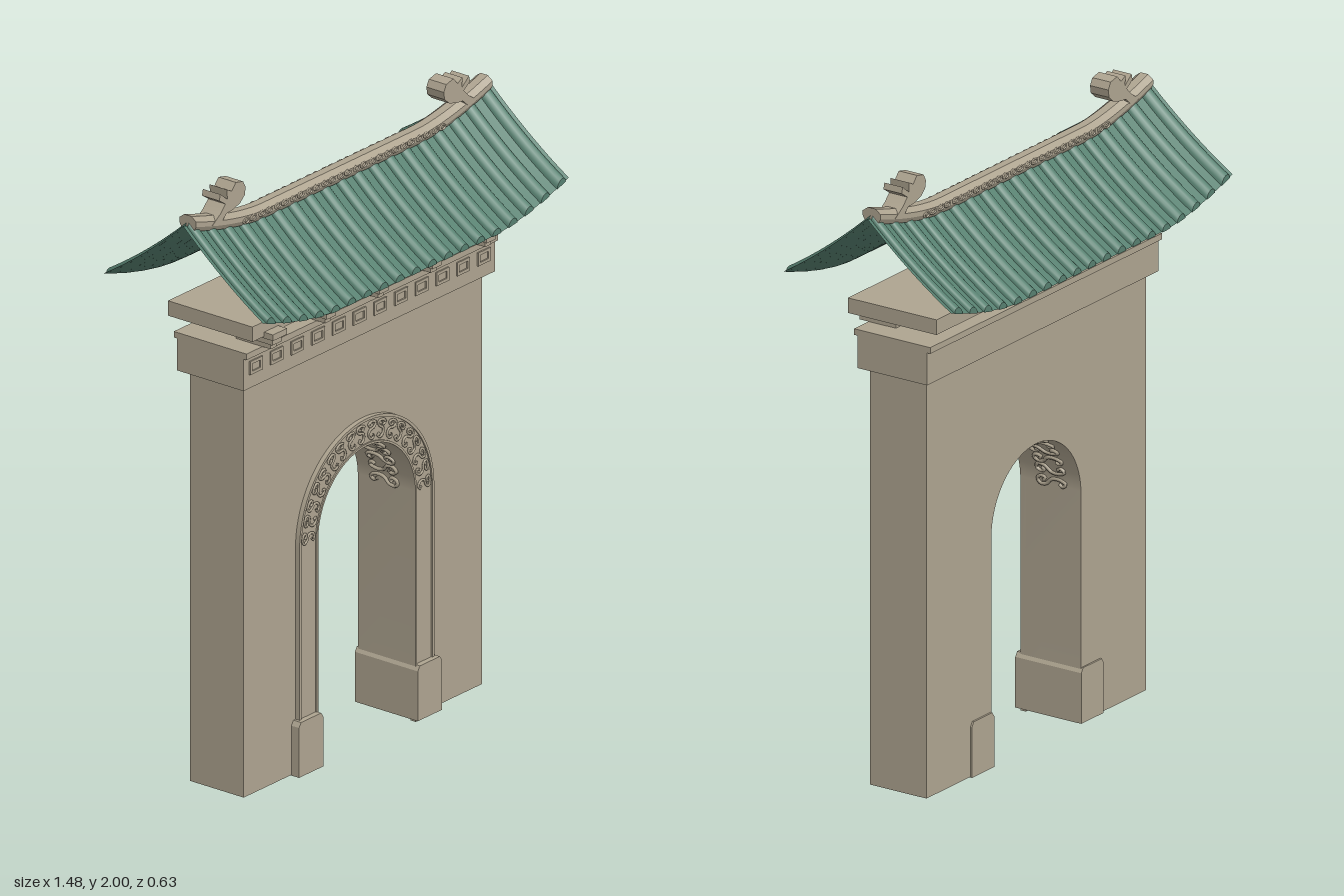
import * as THREE from 'three';
import { mergeGeometries, toCreasedNormals } from 'three/addons/utils/BufferGeometryUtils.js';

const stone = new THREE.MeshStandardMaterial({ color: 0xaea490, side: THREE.DoubleSide });
stone.name = 'stone';
const tile = new THREE.MeshStandardMaterial({ color: 0x578070, side: THREE.DoubleSide });
tile.name = 'greenTile';

const SPRING = 0.75, R_IN = 0.235, R_OUT = 0.325; // arch centre height and radii
const V = (x, y, z) => new THREE.Vector3(x, y, z);

// Surface grid from a function (u, v in 0..1) => Vector3
function grid(nu, nv, fn, flat = false) {
  const pos = [], idx = [];
  for (let i = 0; i <= nu; i++)
    for (let j = 0; j <= nv; j++) pos.push(...fn(i / nu, j / nv).toArray());
  for (let i = 0; i < nu; i++)
    for (let j = 0; j < nv; j++) {
      const a = i * (nv + 1) + j, b = a + nv + 1;
      idx.push(a, b, a + 1, b, b + 1, a + 1);
    }
  let g = new THREE.BufferGeometry();
  g.setAttribute('position', new THREE.Float32BufferAttribute(pos, 3));
  g.setIndex(idx);
  if (flat) g = g.toNonIndexed();
  g.computeVertexNormals();
  return g;
}

// Roof curves: upswept ends and a sagging slope
const lift = x => 0.075 * Math.pow(Math.max(0, Math.abs(x) - 0.38) / 0.36, 1.6);
const slope = (x, z) => {
  const t = Math.abs(z) / 0.312;
  return 1.842 - 0.238 * (1.2 * t - 0.2 * t * t) + lift(x);
};

export function createModel() {
  const model = new THREE.Group();
  const add = (name, geo, mat = stone, parent = model) => {
    const m = new THREE.Mesh(geo, mat);
    m.name = name;
    parent.add(m);
    return m;
  };
  const box = (name, x0, x1, y0, y1, z0, z1, parent) =>
    add(name, new THREE.BoxGeometry(x1 - x0, y1 - y0, z1 - z0), stone, parent)
      .position.set((x0 + x1) / 2, (y0 + y1) / 2, (z0 + z1) / 2);
  const extrude = (shape, z0, z1) => {
    const g = new THREE.ExtrudeGeometry(shape, { depth: z1 - z0, bevelEnabled: false, curveSegments: 40 });
    return toCreasedNormals(g.translate(0, 0, z0), 0.5);
  };

  // Wall with the arched passage
  const wall = new THREE.Shape();
  wall.moveTo(-0.575, 0.01).lineTo(-R_IN, 0.01).lineTo(-R_IN, SPRING);
  wall.absarc(0, SPRING, R_IN, Math.PI, 0, true);
  wall.lineTo(R_IN, 0.01).lineTo(0.575, 0.01).lineTo(0.575, 1.365).lineTo(-0.575, 1.365);
  add('wall', extrude(wall, -0.105, 0.105));

  // Arch surround and its thin edge mouldings
  const arch = (ri, ro, y0) => {
    const s = new THREE.Shape();
    s.moveTo(-ro, y0).lineTo(-ro, SPRING);
    s.absarc(0, SPRING, ro, Math.PI, 0, true);
    s.lineTo(ro, y0).lineTo(ri, y0).lineTo(ri, SPRING);
    s.absarc(0, SPRING, ri, 0, Math.PI, false);
    s.lineTo(-ri, y0);
    return s;
  };
  add('archSurround', extrude(arch(R_IN, R_OUT, 0), 0.1, 0.116));
  add('archOuterMoulding', extrude(arch(0.316, R_OUT, 0), 0.116, 0.121));
  add('archInnerMoulding', extrude(arch(R_IN, 0.242, 0), 0.116, 0.121));

  // Plinths at the foot of the arch, running through the passage
  for (const s of [-1, 1]) {
    const p = new THREE.Shape([[0.228, 0.008], [0.345, 0.008], [0.345, 0.172], [0.335, 0.187],
      [0.238, 0.187], [0.228, 0.172]].map(([x, y]) => new THREE.Vector2(s * x, y)));
    add('archPlinth', extrude(p, -0.111, 0.135));
  }

  // Scroll carving on the arch face and on the underside of the arch
  const scroll = [[0.55, 0.55], [0.35, 0.4], [0.2, 0.65], [0.45, 0.9], [0.8, 0.75], [0.75, 0.35],
    [0.3, 0], [0.25, -0.5], [0.5, -0.85], [0.75, -0.65], [0.6, -0.45]];
  const carving = (count, radius, map) => {
    const parts = [];
    for (let i = 0; i < count; i++)
      for (const s of [-1, 1]) {
        const step = Math.PI / count;
        const pts = scroll.map(([a, b]) => map((i + 0.5) * step + s * a * step * 0.52, b));
        parts.push(new THREE.TubeGeometry(new THREE.CatmullRomCurve3(pts), 32, radius, 5));
      }
    return mergeGeometries(parts);
  };
  add('archFaceCarving', carving(9, 0.0045, (a, b) => {
    const r = 0.279 + b * 0.032;
    return V(r * Math.cos(a), SPRING + r * Math.sin(a), 0.119);
  }));
  add('archSoffitCarving', carving(9, 0.006, (a, b) =>
    V(0.232 * Math.cos(a), SPRING + 0.232 * Math.sin(a), b * 0.06)));

  // Entablature: beam, ledge and upper beam
  box('beam', -0.607, 0.607, 1.365, 1.47, -0.13, 0.13);
  box('ledge', -0.607, 0.607, 1.47, 1.49, -0.142, 0.142);
  box('upperBeam', -0.607, 0.607, 1.536, 1.585, -0.165, 0.165);

  // Square frames along the beam's front
  const frame = new THREE.Shape([[-0.03, -0.022], [0.03, -0.022], [0.03, 0.022], [-0.03, 0.022]]
    .map(p => new THREE.Vector2(...p)));
  frame.holes.push(new THREE.Path([[-0.02, -0.012], [-0.02, 0.012], [0.02, 0.012], [0.02, -0.012]]
    .map(p => new THREE.Vector2(...p))));
  const frames = [];
  for (let i = 0; i < 12; i++)
    frames.push(extrude(frame, 0.129, 0.135).translate((i - 5.5) * 0.1, 1.432, 0));
  add('beamFrieze', mergeGeometries(frames));

  // Stepped brackets on the ledge
  for (const x of [-0.517, -0.255, 0, 0.255, 0.517]) {
    const b = new THREE.Group();
    b.name = 'bracket';
    model.add(b);
    box('bracketFoot', x - 0.014, x + 0.014, 1.49, 1.51, 0.04, 0.175, b);
    box('bracketMiddle', x - 0.022, x + 0.022, 1.508, 1.53, 0.035, 0.188, b);
    box('bracketTop', x - 0.034, x + 0.034, 1.53, 1.55, 0.06, 0.2, b);
  }

  // Roof sheets and tile rolls, both slopes
  const rolls = [];
  for (const s of [-1, 1]) {
    add('roofSheet', grid(40, 12, (u, v) => {
      const x = (u - 0.5) * 1.476, z = s * v * 0.312;
      return V(x, slope(x, z), z);
    }), tile);
    for (let i = -9; i <= 9; i++) {
      const cx = i * 0.0778, r = 0.021;
      const point = (v, a, k = 1) => {
        const z = s * (0.004 + v * 0.31), x = cx + k * r * Math.cos(a);
        return V(x, slope(x, z) + k * r * Math.sin(a), z);
      };
      rolls.push(grid(12, 8, (u, v) => point(u, v * Math.PI)));
      rolls.push(grid(1, 8, (u, v) => point(1, v * Math.PI, u)));
    }
  }
  add('tileRolls', mergeGeometries(rolls), tile);

  // Curved ridge beam with a peaked section
  const section = [[0.024, -0.008], [0.033, 0.008], [0.033, 0.024], [0.014, 0.038],
    [-0.014, 0.038], [-0.033, 0.024], [-0.033, 0.008], [-0.024, -0.008], [0.024, -0.008]];
  const ridgeAt = (u, v, k = 1) => {
    const x = (u - 0.5) * 1.43, [z, y] = section[Math.round(v * 8)];
    return V(x, 1.84 + lift(x) + 0.014 + (y - 0.014) * k, z * k);
  };
  add('ridge', mergeGeometries([
    grid(40, 8, ridgeAt, true),
    grid(1, 8, (u, v) => ridgeAt(0, v, u), true),
    grid(1, 8, (u, v) => ridgeAt(1, v, u), true),
  ]));

  // Small oval scrolls along both sides of the ridge
  const ovals = [];
  for (const s of [-1, 1])
    for (let i = -6; i <= 6; i++)
      for (const d of [-0.017, 0.017])
        ovals.push(new THREE.TorusGeometry(0.01, 0.0035, 5, 12).scale(1.3, 0.8, 1)
          .translate(i * 0.076 + d, 1.857, s * 0.033));
  add('ridgeCarving', mergeGeometries(ovals));

  // Curled tail ornaments near the ridge ends
  const tail = [[0.64, 1.893], [0.6, 1.92], [0.575, 1.945], [0.605, 1.965], [0.6, 1.985], [0.566, 1.958],
    [0.568, 1.99], [0.545, 1.978], [0.525, 2], [0.49, 1.992], [0.478, 1.97], [0.482, 1.945],
    [0.505, 1.925], [0.54, 1.915], [0.57, 1.912], [0.6, 1.885]];
  for (const s of [-1, 1])
    add('ridgeOrnament', extrude(new THREE.Shape(tail.map(([x, y]) => new THREE.Vector2(s * x, y))), -0.034, 0.034));

  return model;
}
